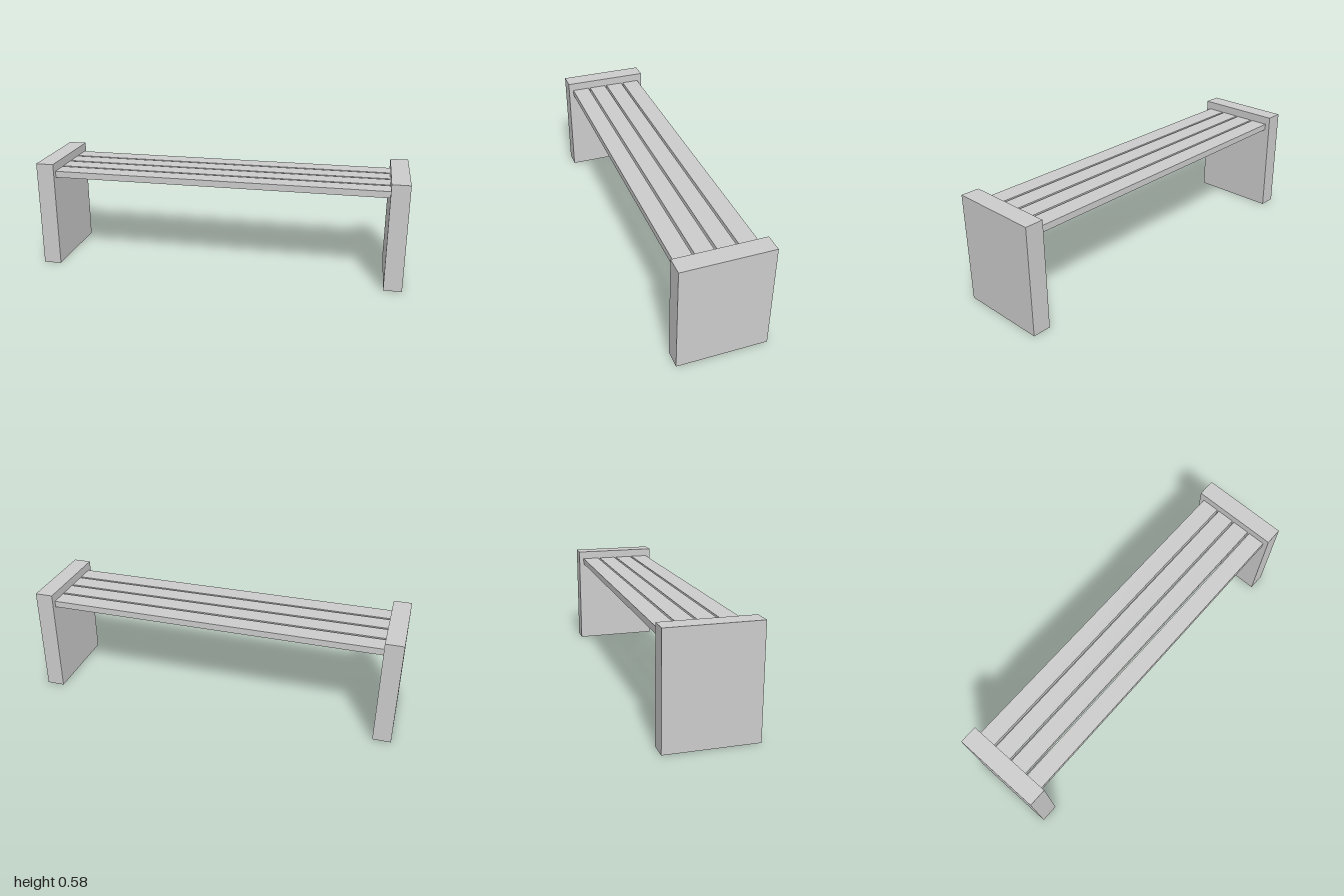
import * as THREE from 'three';

export function createModel() {
  const model = new THREE.Group();
  const material = new THREE.MeshStandardMaterial({ color: 0xcccccc, flatShading: true });

  const addBox = (name, size, position) => {
    const mesh = new THREE.Mesh(new THREE.BoxGeometry(...size), material);
    mesh.name = name;
    mesh.position.set(...position);
    model.add(mesh);
  };

  // Solid slab at each end, rising a little above the seat
  const height = 0.585, thickness = 0.097, depth = 0.48;
  for (const [name, side] of [['leftEndSlab', 1], ['rightEndSlab', -1]]) {
    addBox(name, [thickness, height, depth], [side * (1 - thickness / 2), height / 2, 0]);
  }

  // Four seat slats with narrow gaps, spanning between the slabs
  const count = 4, slatWidth = 0.0975, gap = 0.012;
  const span = 2 * (1 - thickness);
  for (let i = 0; i < count; i++) {
    const z = (i - (count - 1) / 2) * (slatWidth + gap);
    addBox(`seatSlat${i + 1}`, [span, 0.035, slatWidth], [0, 0.522, z]);
  }

  return model;
}
